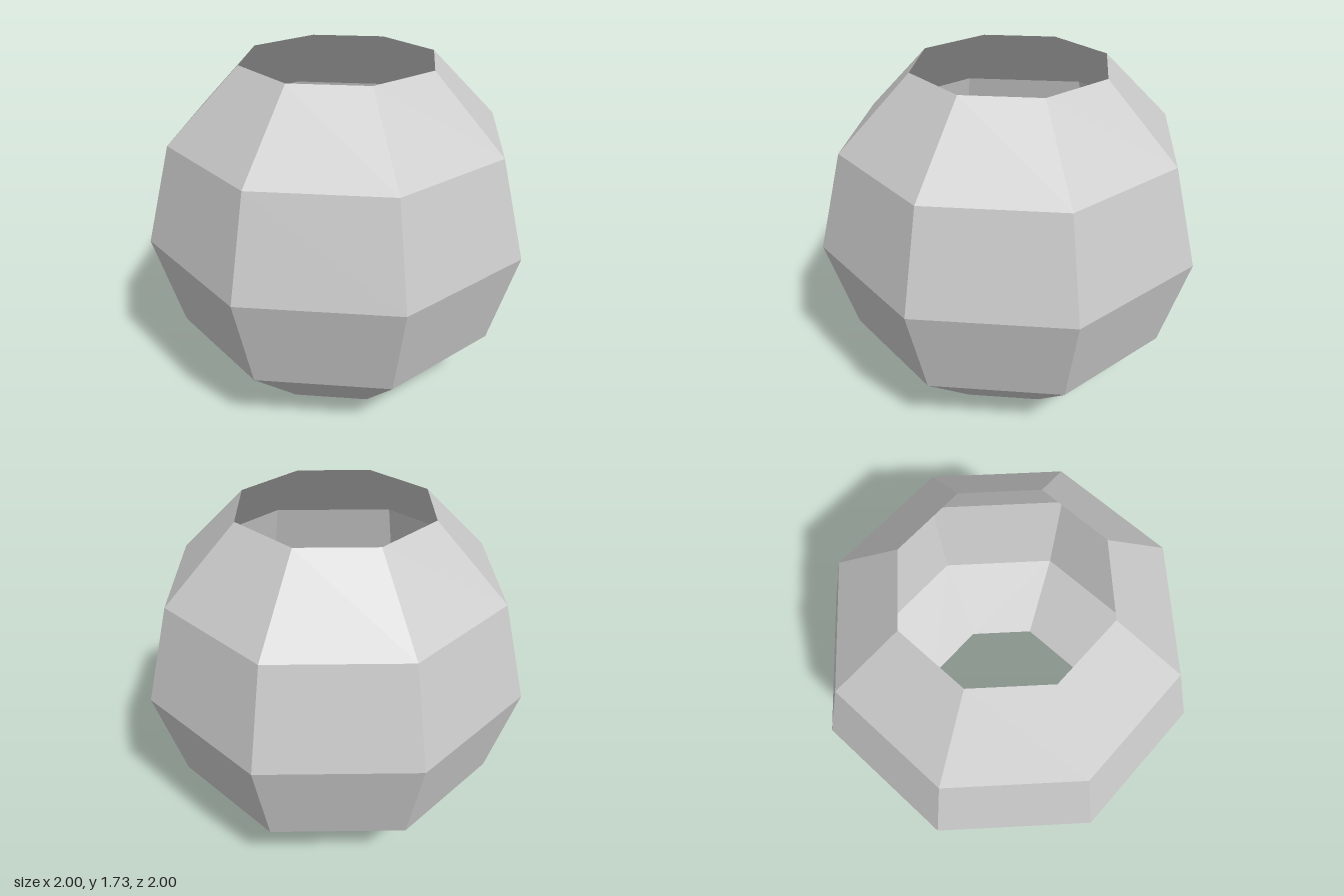
import * as THREE from 'three';

export function createModel() {
  const group = new THREE.Group();
  const cap = Math.PI / 6; // polar angle cut away at each end

  // Faceted eight-sided sphere shell, open at top and bottom
  const geometry = new THREE.SphereGeometry(1, 8, 4, 0, Math.PI * 2, cap, Math.PI - 2 * cap);
  geometry.translate(0, Math.cos(cap), 0);

  const shell = new THREE.Mesh(geometry, new THREE.MeshStandardMaterial({
    color: 0xcccccc, flatShading: true, side: THREE.DoubleSide,
  }));
  shell.name = 'openSphereShell';
  group.add(shell);
  return group;
}
